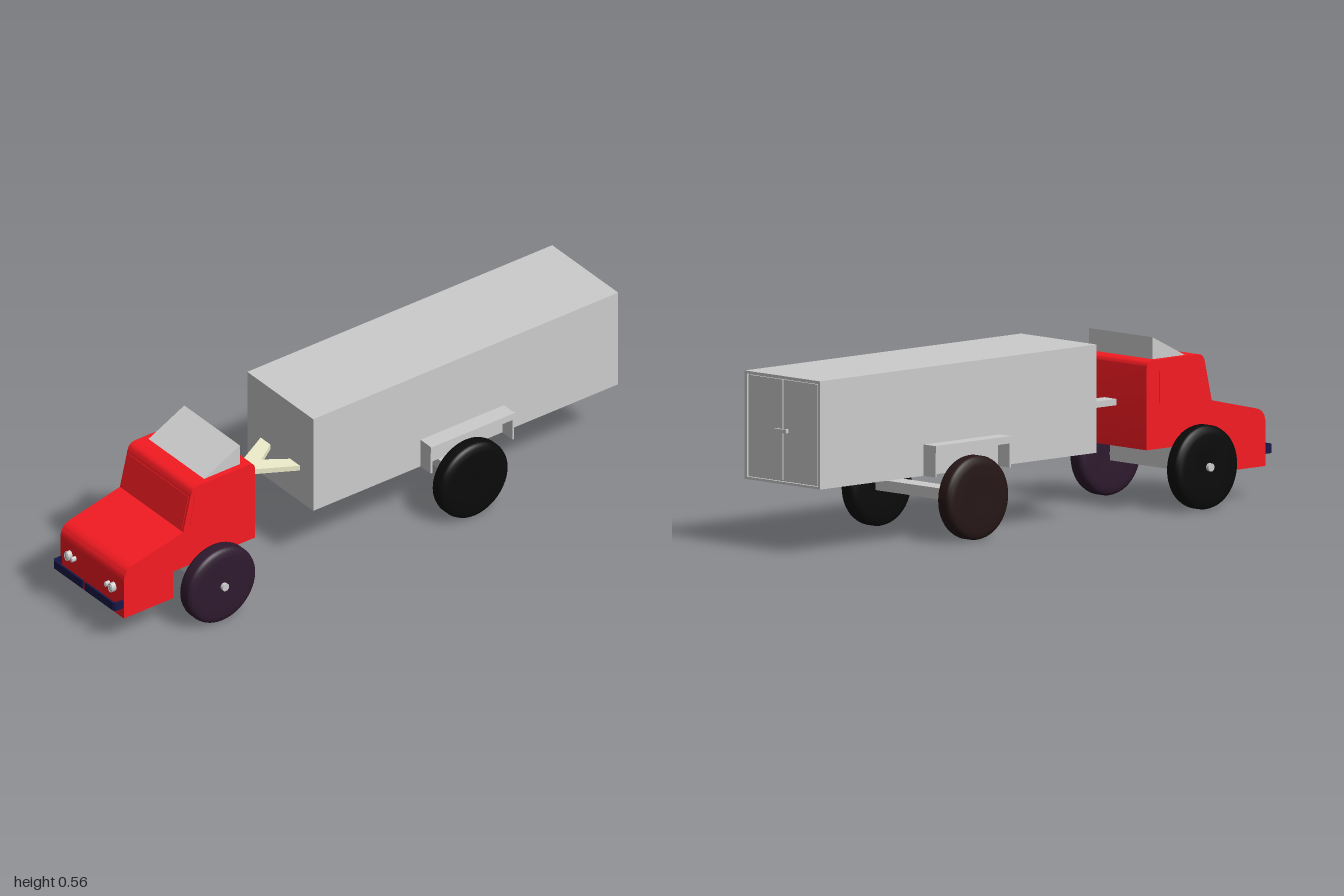
import * as THREE from 'three';
import { toCreasedNormals } from 'three/addons/utils/BufferGeometryUtils.js';

const mat = (color) => new THREE.MeshStandardMaterial({ color });
const grey = mat(0xcccccc), red = mat(0xf51b22), navy = mat(0x181848), cream = mat(0xefefcc);
const black = mat(0x0a0a0a), purple = mat(0x2e1a2e), brown = mat(0x261616);

export function createModel() {
  const model = new THREE.Group();

  const add = (name, geo, material, x = 0, y = 0, z = 0, parent = model) => {
    const mesh = new THREE.Mesh(geo, material);
    mesh.name = name;
    mesh.position.set(x, y, z);
    parent.add(mesh);
    return mesh;
  };
  // box given by its limits
  const box = (name, material, x0, x1, y0, y1, z0, z1, parent = model) =>
    add(name, new THREE.BoxGeometry(x1 - x0, y1 - y0, z1 - z0), material,
      (x0 + x1) / 2, (y0 + y1) / 2, (z0 + z1) / 2, parent);
  // side profile drawn in (z, y), extruded symmetrically across x
  const sideExtrude = (shape, halfWidth) => {
    const geo = new THREE.ExtrudeGeometry(shape, { depth: halfWidth * 2, bevelEnabled: false, curveSegments: 8 });
    geo.translate(0, 0, -halfWidth);
    geo.rotateY(-Math.PI / 2);
    return toCreasedNormals(geo, 0.6);
  };
  // plan drawn in (x, z), extruded upwards from y0
  const planExtrude = (shape, y0, height) => {
    const geo = new THREE.ExtrudeGeometry(shape, { depth: height, bevelEnabled: false, curveSegments: 8 });
    geo.rotateX(Math.PI / 2);
    geo.translate(0, y0 + height, 0);
    return toCreasedNormals(geo, 0.6);
  };
  const polygon = (pts) => new THREE.Shape(pts.map((p) => new THREE.Vector2(...p)));

  // --- cab ---
  const cab = new THREE.Group();
  cab.name = 'cab';
  model.add(cab);
  const s = new THREE.Shape();
  s.moveTo(0.45, 0.2);
  s.lineTo(0.77, 0.2);
  s.lineTo(0.77, 0.1);
  s.lineTo(0.965, 0.1);
  s.lineTo(0.965, 0.235);
  s.quadraticCurveTo(0.965, 0.278, 0.925, 0.287);
  s.lineTo(0.73, 0.332);
  s.lineTo(0.7, 0.458);
  s.quadraticCurveTo(0.694, 0.484, 0.67, 0.484);
  s.lineTo(0.472, 0.484);
  s.quadraticCurveTo(0.446, 0.484, 0.446, 0.46);
  s.lineTo(0.446, 0.2);
  add('cabBody', sideExtrude(s, 0.165), red, 0, 0, 0, cab);

  // windscreen panel lies on the raked front of the cab
  const screen = add('windscreen', new THREE.BoxGeometry(0.314, 0.113, 0.004), red, 0, 0.395, 0.715, cab);
  screen.rotation.x = -Math.atan2(0.03, 0.126);
  for (const side of [-1, 1]) {
    const windows = [
      ['quarterWindow', [[0.635, 0.345], [0.705, 0.345], [0.683, 0.448], [0.635, 0.448]]],
      ['doorWindow', [[0.5, 0.345], [0.622, 0.345], [0.622, 0.448], [0.5, 0.448]]],
    ];
    for (const [name, pts] of windows)
      add(name, sideExtrude(polygon(pts), 0.001), red, side * 0.165, 0, 0, cab);
  }

  // roof wind deflector
  add('windDeflector', sideExtrude(polygon([[0.49, 0.48], [0.64, 0.48], [0.49, 0.554]]), 0.145), grey, 0, 0, 0, cab);

  // bumper halves: thin strips that wrap back round the corners
  for (const side of [-1, 1]) {
    const b = new THREE.Shape();
    b.moveTo(side * 0.005, 1.0);
    b.lineTo(side * 0.148, 1.0);
    b.quadraticCurveTo(side * 0.163, 1.0, side * 0.163, 0.985);
    b.lineTo(side * 0.163, 0.963);
    b.lineTo(side * 0.157, 0.963);
    b.lineTo(side * 0.157, 0.985);
    b.quadraticCurveTo(side * 0.157, 0.994, side * 0.148, 0.994);
    b.lineTo(side * 0.005, 0.994);
    add('bumper', planExtrude(b, 0.138, 0.029), navy, 0, 0, 0, cab);

    // oval headlights with a dished rim and a domed lens
    for (const [name, x, r] of [['headlight', 0.114, 0.012], ['sideLight', 0.088, 0.0065]]) {
      const lamp = new THREE.Group();
      lamp.name = name;
      lamp.position.set(side * x, 0.195, 0.962);
      lamp.scale.y = 1.4;
      cab.add(lamp);
      const shell = new THREE.CylinderGeometry(r, r, 0.018, 24).rotateX(Math.PI / 2);
      add('lampShell', shell, grey, 0, 0, 0.009, lamp);
      add('lampRim', new THREE.TorusGeometry(r * 0.88, r * 0.14, 8, 24), grey, 0, 0, 0.018, lamp);
      const lens = add('lampLens', new THREE.SphereGeometry(r * 0.7, 16, 10), grey, 0, 0, 0.018, lamp);
      lens.scale.z = 0.4;
    }
  }

  // --- wheels and axles ---
  const profile = [[0, -0.031], [0.06, -0.033], [0.105, -0.032], [0.122, -0.029], [0.131, -0.023], [0.134, -0.014],
    [0.134, 0.014], [0.131, 0.023], [0.122, 0.029], [0.105, 0.032], [0.06, 0.033], [0, 0.031]];
  const tyre = new THREE.LatheGeometry(profile.map((p) => new THREE.Vector2(...p)), 48).rotateZ(Math.PI / 2);
  const wheels = [['frontWheel', 1, 0.635, purple], ['frontWheel', -1, 0.635, black],
    ['rearWheel', 1, -0.365, black], ['rearWheel', -1, -0.365, brown]];
  for (const [name, side, z, material] of wheels) add(name, tyre, material, side * 0.22, 0.135, z);

  add('frontAxle', new THREE.CylinderGeometry(0.013, 0.013, 0.526, 24).rotateZ(Math.PI / 2), grey, 0, 0.137, 0.635);
  box('frontAxleBeam', grey, -0.163, 0.163, 0.12, 0.2, 0.6, 0.67);
  box('rearAxleBeam', grey, -0.195, 0.195, 0.12, 0.155, -0.4, -0.33);

  // --- hitch ---
  box('hitchBar', grey, -0.028, 0.028, 0.33, 0.35, 0.35, 0.45);
  add('hitchFork', planExtrude(polygon([[-0.028, 0.355], [0.028, 0.355], [0.105, 0.215], [0.055, 0.215],
    [0, 0.295], [-0.055, 0.215], [-0.105, 0.215]]), 0.331, 0.018), cream);

  // --- trailer ---
  const trailer = new THREE.Group();
  trailer.name = 'trailer';
  model.add(trailer);
  box('trailerBody', grey, -0.172, 0.172, 0.215, 0.56, -0.978, 0.22, trailer);
  box('doorFrameTop', grey, -0.172, 0.172, 0.552, 0.56, -0.988, -0.978, trailer);
  box('doorFrameBottom', grey, -0.172, 0.172, 0.215, 0.223, -0.988, -0.978, trailer);
  for (const side of [-1, 1]) {
    const span = (a, b) => (side > 0 ? [a, b] : [-b, -a]);
    box('doorFramePost', grey, ...span(0.162, 0.172), 0.223, 0.552, -0.988, -0.978, trailer);
    box('rearDoor', grey, ...span(0.003, 0.157), 0.227, 0.548, -0.985, -0.978, trailer);
    box('handleMount', grey, ...span(0.018, 0.024), 0.38, 0.392, -0.994, -0.984, trailer);

    // mudguard: top plate, two end plates and an outer rail
    box('mudguardTop', grey, ...span(0.17, 0.225), 0.307, 0.315, -0.535, -0.205, trailer);
    box('mudguardFront', grey, ...span(0.17, 0.225), 0.215, 0.31, -0.211, -0.205, trailer);
    box('mudguardBack', grey, ...span(0.17, 0.225), 0.215, 0.31, -0.535, -0.529, trailer);
    box('mudguardRail', grey, ...span(0.222, 0.23), 0.293, 0.316, -0.537, -0.203, trailer);
  }
  box('doorHandle', grey, -0.03, 0.03, 0.38, 0.392, -1.0, -0.993, trailer);

  return model;
}
